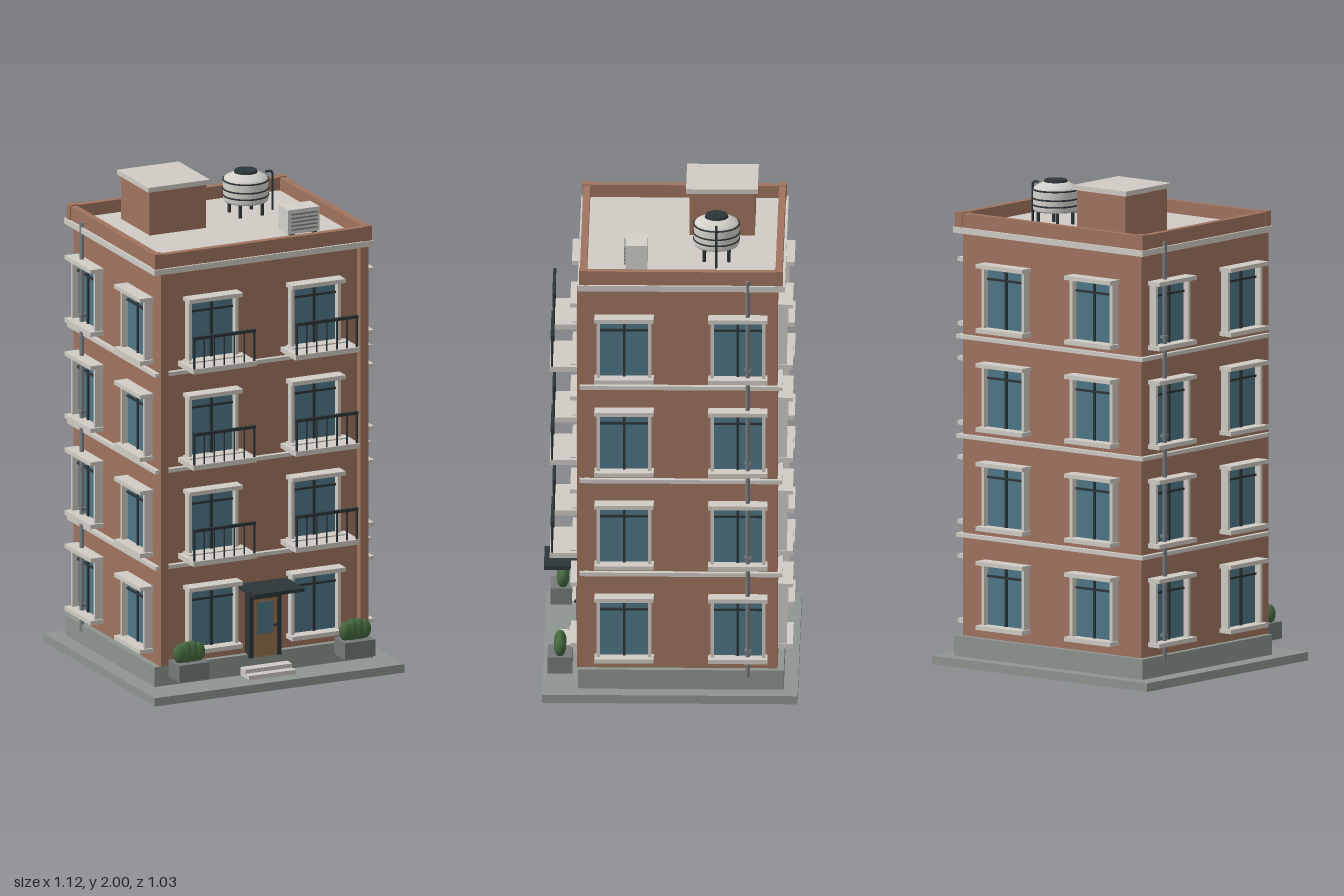
import * as THREE from 'three';

const mat = (color, side = THREE.FrontSide) => new THREE.MeshStandardMaterial({ color, side });
const M = {
  brick: mat(0xa0735f), trim: mat(0xd0ccc4), stone: mat(0x8e9490), glass: mat(0x4f7686),
  dark: mat(0x2c3538), wood: mat(0x94704c), leaf: mat(0x45693f), pipe: mat(0x777d80),
  tank: mat(0xd2d0c9), pot: mat(0x74797a)
};

const add = (parent, name, geo, material, x = 0, y = 0, z = 0) => {
  const m = new THREE.Mesh(geo, material);
  m.name = name;
  m.position.set(x, y, z);
  parent.add(m);
  return m;
};
// Box given by its min and max on each axis
const box = (parent, name, material, x0, x1, y0, y1, z0, z1) =>
  add(parent, name, new THREE.BoxGeometry(x1 - x0, y1 - y0, z1 - z0), material,
    (x0 + x1) / 2, (y0 + y1) / 2, (z0 + z1) / 2);
const rod = (parent, name, material, r, x, y0, y1, z) =>
  add(parent, name, new THREE.CylinderGeometry(r, r, y1 - y0, 12), material, x, (y0 + y1) / 2, z);
const group = (parent, name, x = 0, y = 0, z = 0, ry = 0) => {
  const g = new THREE.Group();
  g.name = name;
  g.position.set(x, y, z);
  g.rotation.y = ry;
  parent.add(g);
  return g;
};

const CZ = -0.045, HX = 0.465, HZ = 0.39;       // body centre and half sizes
const FRONT = CZ + HZ, BACK = CZ - HZ;
const FLOORS = [0.175, 0.58, 0.985, 1.39];      // bottoms of the window panes

// Window with its origin at the pane's lower middle, facing local +z
function addWindow(parent, x, y, z, ry) {
  const g = group(parent, 'window', x, y, z, ry);
  box(g, 'pane', M.glass, -0.1, 0.1, 0, 0.25, -0.01, 0.008);
  box(g, 'mullion', M.dark, -0.005, 0.005, 0, 0.25, 0, 0.016);
  box(g, 'transom', M.dark, -0.1, 0.1, 0.197, 0.206, 0, 0.015);
  for (const s of [-1, 1]) box(g, 'jamb', M.trim, s * 0.104 - 0.007, s * 0.104 + 0.007, 0, 0.25, 0, 0.035);
  box(g, 'lintel', M.trim, -0.12, 0.12, 0.248, 0.265, 0, 0.06);
  box(g, 'sill', M.trim, -0.12, 0.12, -0.016, 0.002, 0, 0.06);
}

function addBalcony(parent, x, y) {
  const g = group(parent, 'balcony', x, y, 0);
  box(g, 'balconySlab', M.trim, -0.143, 0.143, -0.024, -0.003, FRONT, 0.487);
  box(g, 'handrail', M.dark, -0.14, 0.14, 0.118, 0.13, 0.472, 0.484);
  const n = 7;
  for (let i = 0; i < n; i++)
    rod(g, 'baluster', M.dark, i % (n - 1) ? 0.0035 : 0.005, -0.135 + 0.27 * i / (n - 1), -0.005, 0.12, 0.478);
}

function addPlanter(parent, x) {
  const g = group(parent, 'planter', x, 0, 0.445);
  box(g, 'planterBox', M.pot, -0.068, 0.068, 0.08, 0.15, -0.05, 0.05);
  for (let i = 0; i < 4; i++)
    add(g, 'bush', new THREE.SphereGeometry(1, 16, 12), M.leaf, -0.04 + i * 0.0267, 0.185, 0)
      .scale.set(0.03, i % 3 ? 0.049 : 0.04, 0.025);
}

function addWaterTank(parent, x, y, z) {
  const g = group(parent, 'waterTank', x, y, z);
  const profile = [[0, 0.06], [0.088, 0.06], [0.092, 0.068], [0.092, 0.145], [0.086, 0.158], [0.05, 0.178], [0, 0.18]]
    .map(p => new THREE.Vector2(...p));
  add(g, 'tankBody', new THREE.LatheGeometry(profile, 40), M.tank);
  for (const h of [0.085, 0.112, 0.148])
    add(g, 'tankBand', new THREE.TorusGeometry(0.092, 0.0035, 8, 40), M.dark, 0, h, 0).rotation.x = Math.PI / 2;
  add(g, 'tankLid', new THREE.CylinderGeometry(0.045, 0.05, 0.016, 28), M.dark, 0, 0.18, 0);
  for (let i = 0; i < 4; i++) {
    const a = Math.PI / 4 + i * Math.PI / 2;
    rod(g, 'tankLeg', M.dark, 0.007, 0.07 * Math.cos(a), 0, 0.064, 0.07 * Math.sin(a));
  }
  const path = new THREE.CatmullRomCurve3([[0.085, 0.168], [0.11, 0.168], [0.119, 0.16], [0.12, 0.14], [0.12, 0]]
    .map(([px, py]) => new THREE.Vector3(px, py, 0)), false, 'catmullrom', 0.2);
  add(g, 'tankPipe', new THREE.TubeGeometry(path, 24, 0.005, 8), M.dark);
}

export function createModel() {
  const root = new THREE.Group();
  root.name = 'apartmentBuilding';

  // Ground, plinth and walls
  box(root, 'pavement', M.stone, -0.56, 0.56, 0, 0.035, -0.517, 0.515);
  box(root, 'plinth', M.stone, -0.49, 0.49, 0.035, 0.118, -0.46, 0.37);
  box(root, 'walls', M.brick, -HX, HX, 0.118, 1.77, BACK, FRONT);
  for (const s of [-1, 1])
    box(root, 'cornerPilaster', M.brick, s * 0.448 - 0.0175, s * 0.448 + 0.0175, 0.118, 1.768, FRONT, 0.376);
  for (const y of [0.53, 0.935, 1.342])
    box(root, 'stringCourse', M.trim, -0.485, 0.485, y - 0.008, y + 0.008, CZ - 0.41, CZ + 0.41);
  box(root, 'cornice', M.trim, -0.493, 0.493, 1.766, 1.79, CZ - 0.42, CZ + 0.418);

  // Roof and parapet
  box(root, 'roof', M.trim, -0.46, 0.46, 1.785, 1.795, CZ - 0.385, CZ + 0.385);
  for (const s of [-1, 1]) {
    box(root, 'parapetSide', M.brick, s * 0.469 - 0.014, s * 0.469 + 0.014, 1.79, 1.848, CZ - 0.409, CZ + 0.409);
    box(root, 'parapetEnd', M.brick, -0.483, 0.483, 1.79, 1.848, CZ + s * 0.395 - 0.014, CZ + s * 0.395 + 0.014);
    for (const t of [-1, 1])
      add(root, 'parapetCorner', new THREE.BoxGeometry(0.038, 0.062, 0.034), M.brick, s * 0.468, 1.821, CZ + t * 0.395);
  }

  // Windows on all four sides, balconies on the upper front
  FLOORS.forEach((y, floor) => {
    for (const s of [-1, 1]) {
      addWindow(root, s * 0.23, y, FRONT, 0);
      addWindow(root, s * 0.23, y, BACK, Math.PI);
      for (const t of [-1, 1]) addWindow(root, s * HX, y, CZ + t * 0.23, s * Math.PI / 2);
      if (floor > 0) addBalcony(root, s * 0.23, y);
    }
  });

  // Entrance
  const door = group(root, 'entrance');
  for (const s of [-1, 1])
    box(door, 'doorJamb', M.dark, s * 0.063 - 0.009, s * 0.063 + 0.009, 0.105, 0.37, FRONT, 0.385);
  box(door, 'doorHead', M.dark, -0.072, 0.072, 0.35, 0.37, FRONT, 0.385);
  box(door, 'doorLeaf', M.wood, -0.054, 0.054, 0.105, 0.35, FRONT, 0.378);
  box(door, 'doorGlass', M.glass, -0.036, 0.036, 0.2, 0.335, 0.37, 0.381);
  add(door, 'doorHandle', new THREE.SphereGeometry(0.008, 12, 8), M.dark, 0.042, 0.235, 0.386);
  box(door, 'canopy', M.dark, -0.112, 0.112, 0.398, 0.413, FRONT, 0.515);
  box(door, 'lowerStep', M.trim, -0.105, 0.105, 0.035, 0.053, 0.36, 0.45);
  box(door, 'upperStep', M.trim, -0.105, 0.105, 0.053, 0.07, 0.36, 0.415);
  for (const s of [-1, 1]) addPlanter(root, s * 0.372);

  // Downpipes with brackets
  for (const s of [-1, 1]) {
    const g = group(root, 'downpipe', s * 0.486, 0, -0.314);
    rod(g, 'pipe', M.pipe, 0.009, 0, 0.09, 1.81, 0);
    for (const y of [0.2, 0.605, 1.015, 1.42])
      add(g, 'bracket', new THREE.BoxGeometry(0.026, 0.012, 0.026), M.pipe, -s * 0.003, y, 0);
  }

  // Stair house, tank and cooling unit on the roof
  box(root, 'stairHouse', M.brick, -0.3, -0.048, 1.79, 1.982, -0.335, -0.07);
  box(root, 'stairHouseCap', M.trim, -0.312, -0.036, 1.98, 2, -0.347, -0.057);
  addWaterTank(root, 0.186, 1.793, -0.184);
  const ac = group(root, 'coolingUnit', 0.27, 1.793, 0.139);
  box(ac, 'unitCase', M.tank, -0.071, 0.071, 0.008, 0.11, -0.046, 0.043);
  for (const s of [-1, 1]) box(ac, 'unitFoot', M.dark, s * 0.05 - 0.01, s * 0.05 + 0.01, 0, 0.008, -0.04, 0.04);
  for (let i = 0; i < 5; i++) box(ac, 'louvre', M.pipe, -0.058, 0.058, 0.024 + i * 0.016, 0.03 + i * 0.016, 0.04, 0.048);

  return root;
}
